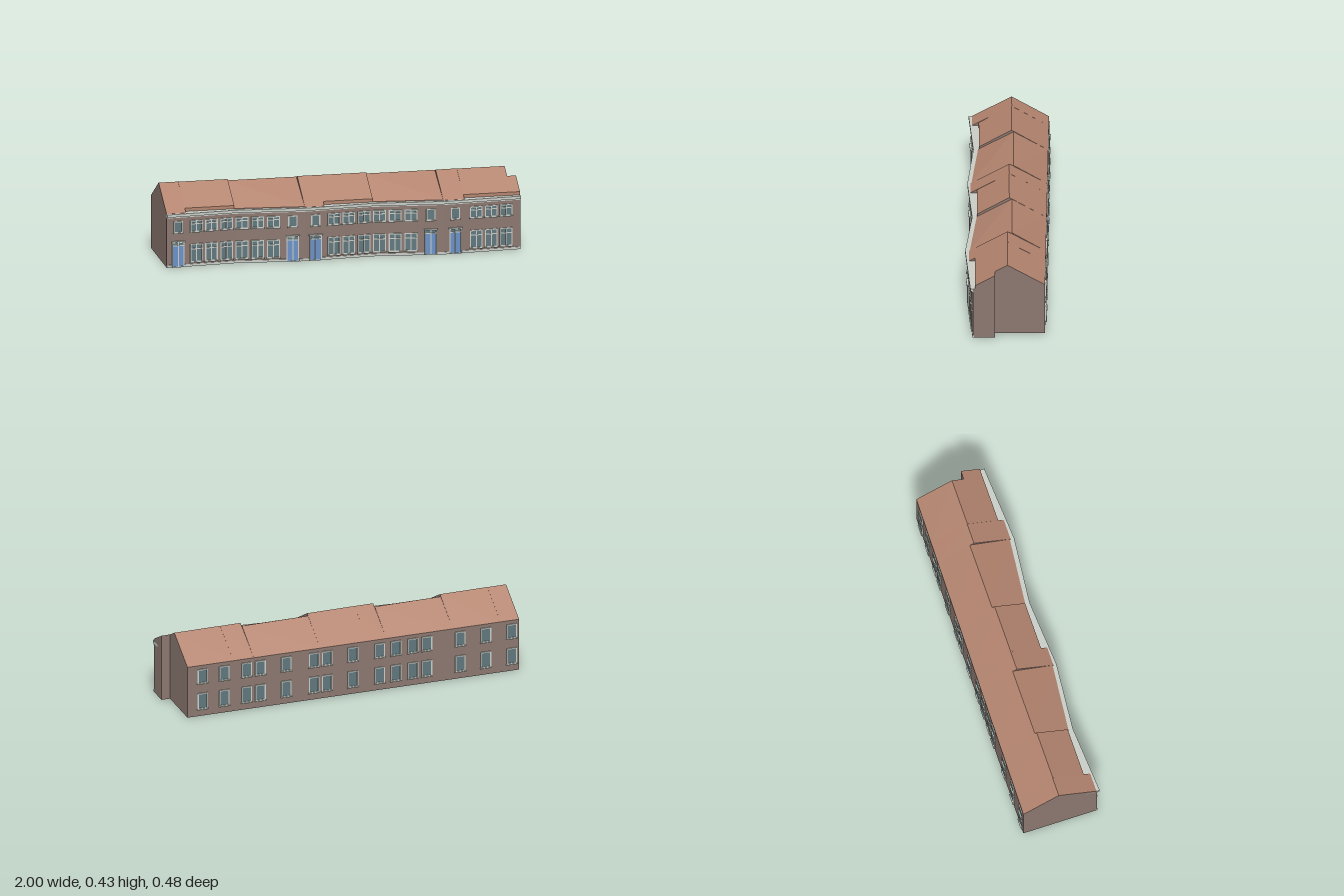
import * as THREE from 'three';

const mat = (name, color, double) => {
  const m = new THREE.MeshStandardMaterial({ color });
  m.name = name;
  if (double) m.side = THREE.DoubleSide;
  return m;
};

// Zigzag facade line as [x, z], and the straight rear wall line
const FACADE = [[-1, 0.195], [-0.61, 0.17], [-0.22, 0.205], [0.17, 0.18], [0.56, 0.22], [1, 0.193]];
const BACK_SLOPE = 0.03 / 1.95;
const backZ = x => -0.235 + (x + 1) * BACK_SLOPE;
const EAVE = 0.305;

function facadeAt(x) {
  let i = 0;
  while (i < FACADE.length - 2 && x > FACADE[i + 1][0]) i++;
  const [a, b] = [FACADE[i], FACADE[i + 1]];
  const slope = (b[1] - a[1]) / (b[0] - a[0]);
  return { z: a[1] + (x - a[0]) * slope, angle: -Math.atan(slope) };
}

// Upright prism over a plan given as [x, z] points
function planPrism(points, y0, y1) {
  const shape = new THREE.Shape(points.map(([x, z]) => new THREE.Vector2(x, -z)));
  const g = new THREE.ExtrudeGeometry(shape, { depth: y1 - y0, bevelEnabled: false });
  return g.rotateX(-Math.PI / 2).translate(0, y0, 0);
}

// Strip that follows the facade between two offsets
function facadeStrip(x0, x1, inner, outer, y0, y1) {
  const xs = [x0, ...FACADE.map(p => p[0]).filter(x => x > x0 + 1e-4 && x < x1 - 1e-4), x1];
  const line = d => xs.map(x => [x, facadeAt(x).z + d]);
  return planPrism([...line(outer), ...line(inner).reverse()], y0, y1);
}

// Roof block between two [z, y] profiles: group 0 = outer faces, group 1 = end walls
function roofBlock(x0, profA, x1, profB, firstIsWall) {
  const A = profA.map(([z, y]) => [x0, y, z]);
  const B = profB.map(([z, y]) => [x1, y, z]);
  const pos = [], n = A.length;
  const tri = (...p) => p.forEach(v => pos.push(...v));
  for (let i = 0; i < n - 1; i++) {
    tri(A[i], A[i + 1], B[i + 1]);
    tri(A[i], B[i + 1], B[i]);
  }
  const sides = (n - 1) * 6;
  for (let i = 1; i < n - 1; i++) {
    tri(B[0], B[i], B[i + 1]);
    tri(A[0], A[i + 1], A[i]);
  }
  const g = new THREE.BufferGeometry();
  g.setAttribute('position', new THREE.Float32BufferAttribute(pos, 3));
  g.computeVertexNormals();
  const first = firstIsWall ? 6 : 0;
  if (first) g.addGroup(0, first, 1);
  g.addGroup(first, sides - first, 0);
  g.addGroup(sides, pos.length / 3 - sides, 1);
  return g;
}

// Frame with a grid of openings; xs and ys are the bar centre lines
function frameGeometry(xs, ys, bar, depth) {
  const rect = (T, x0, y0, x1, y1) => new T([[x0, y0], [x1, y0], [x1, y1], [x0, y1]]
    .map(p => new THREE.Vector2(...p)));
  const h = bar / 2;
  const shape = rect(THREE.Shape, xs[0] - h, ys[0] - h, xs.at(-1) + h, ys.at(-1) + h);
  for (let i = 0; i < xs.length - 1; i++)
    for (let j = 0; j < ys.length - 1; j++)
      shape.holes.push(rect(THREE.Path, xs[i] + h, ys[j] + h, xs[i + 1] - h, ys[j + 1] - h));
  return new THREE.ExtrudeGeometry(shape, { depth, bevelEnabled: false });
}

export function createModel() {
  const model = new THREE.Group();
  model.name = 'terracedHouses';
  const wall = mat('brick wall', 0x8c7870);
  const roof = mat('roof tile', 0xb3846f, true);
  const trim = mat('pale trim', 0xc9cdc6);
  const glass = mat('window glass', 0x5f777d);
  const blue = mat('blue door', 0x6a92c6);

  const add = (name, geometry, material, parent = model) => {
    const m = new THREE.Mesh(geometry, material);
    m.name = name;
    parent.add(m);
    return m;
  };

  // Brick body with the set-back corner at the left rear
  add('walls', planPrism([...FACADE, [1, 0.072], [0.95, 0.072], [0.95, backZ(0.95)], [-1, backZ(-1)]], 0, EAVE), wall);

  // Cornice, gutter floor and a thin band under it
  add('cornice', facadeStrip(-1, 1, -0.06, 0.016, 0.291, 0.307), trim);
  add('corniceBand', facadeStrip(-1, 1, -0.005, 0.007, 0.284, 0.291), trim);

  // Roof bays: x0, x1, ridge z, ridge y, front z at each end, front edge y
  const bays = [
    [-1, -0.89, -0.028, 0.43, 0.192, 0.192, 0.308],
    [-0.89, -0.61, -0.026, 0.43, 0.155, 0.155, 0.326],
    [-0.61, -0.22, -0.036, 0.42, 0.16, 0.198, 0.31],
    [-0.22, -0.11, -0.011, 0.43, 0.203, 0.203, 0.308],
    [-0.11, 0.17, -0.01, 0.43, 0.168, 0.168, 0.326],
    [0.17, 0.56, -0.024, 0.42, 0.17, 0.21, 0.31],
    [0.56, 0.68, 0.001, 0.428, 0.215, 0.215, 0.308],
    [0.68, 0.95, 0.003, 0.428, 0.183, 0.183, 0.326],
  ];
  for (const [x0, x1, rz, ry, f0, f1, fy] of bays) {
    const profile = (x, f) => [[backZ(x), EAVE], [rz, ry], [f, fy], [f, EAVE]];
    add('roofBay', roofBlock(x0, profile(x0, f0), x1, profile(x1, f1)), [roof, wall]);
  }
  const endProfile = [[0.072, EAVE], [0.072, 0.389], [0.183, 0.326], [0.183, EAVE]];
  add('roofEnd', roofBlock(0.95, endProfile, 1, endProfile, true), [roof, wall]);

  // Window: glass plate and a barred frame; local origin at the bottom centre
  const windowMaker = (w, h, bars, transom) => {
    const xs = [-w / 2, ...bars, w / 2];
    const ys = transom ? [0, h * transom, h] : [0, h];
    const frame = frameGeometry(xs, ys, 0.006, 0.006);
    const pane = new THREE.BoxGeometry(w, h, 0.004).translate(0, h / 2, 0.001);
    const sill = new THREE.BoxGeometry(w + 0.012, 0.005, 0.011).translate(0, -0.004, 0.0045);
    return name => {
      const g = new THREE.Group();
      g.name = name;
      add('frame', frame, trim, g);
      add('glass', pane, glass, g);
      add('sill', sill, trim, g);
      return g;
    };
  };
  const onFront = (obj, x, y) => {
    const f = facadeAt(x);
    obj.position.set(x, y, f.z);
    obj.rotation.y = f.angle;
    model.add(obj);
  };
  const onBack = (obj, x, y) => {
    obj.position.set(x, y, backZ(x));
    obj.rotation.y = Math.PI - Math.atan(BACK_SLOPE);
    model.add(obj);
  };

  // Front window rows
  const upper = windowMaker(0.066, 0.06, [0], 0.72);
  const lower = windowMaker(0.066, 0.098, [0], 0.74);
  const small = windowMaker(0.046, 0.06, []);
  const frontX = [-0.83, -0.745, -0.657, -0.57, -0.483, -0.395,
    -0.055, 0.03, 0.118, 0.205, 0.292, 0.38, 0.747, 0.833, 0.918];
  for (const x of frontX) {
    onFront(upper('upperWindow'), x, 0.2);
    onFront(lower('lowerWindow'), x, 0.027);
  }

  // Double front doors with a canopy, and a small window above each
  const doorX = [-0.935, -0.288, -0.16, 0.49, 0.628];
  const doorFrame = frameGeometry([-0.032, 0, 0.032], [0.002, 0.124, 0.142], 0.005, 0.007);
  for (const x of doorX) {
    const door = new THREE.Group();
    door.name = 'frontDoor';
    add('doorFrame', doorFrame, trim, door);
    add('doorLeaves', new THREE.BoxGeometry(0.064, 0.124, 0.008).translate(0, 0.062, 0), blue, door);
    add('fanlight', new THREE.BoxGeometry(0.064, 0.018, 0.008).translate(0, 0.133, 0), glass, door);
    add('canopy', new THREE.BoxGeometry(0.078, 0.007, 0.016).translate(0, 0.146, 0.006), trim, door);
    onFront(door, x, 0);
    onFront(small('smallWindow'), x, 0.2);
  }

  // Plinth pieces between the doors
  const edges = [-1, ...doorX.flatMap(x => [x - 0.036, x + 0.036]), 1];
  for (let i = 0; i < edges.length; i += 2)
    add('plinth', facadeStrip(edges[i], edges[i + 1], -0.005, 0.004, 0, 0.014), trim);

  // Rear windows on both floors
  const rearUpper = windowMaker(0.054, 0.08, []);
  const rearLower = windowMaker(0.054, 0.09, []);
  const rearX = [0.862, 0.735, 0.603, 0.522, 0.37, 0.207, 0.13, -0.022,
    -0.18, -0.275, -0.375, -0.457, -0.653, -0.804, -0.956];
  for (const x of rearX) {
    onBack(rearUpper('rearUpperWindow'), x, 0.2);
    onBack(rearLower('rearLowerWindow'), x, 0.045);
  }
  return model;
}
